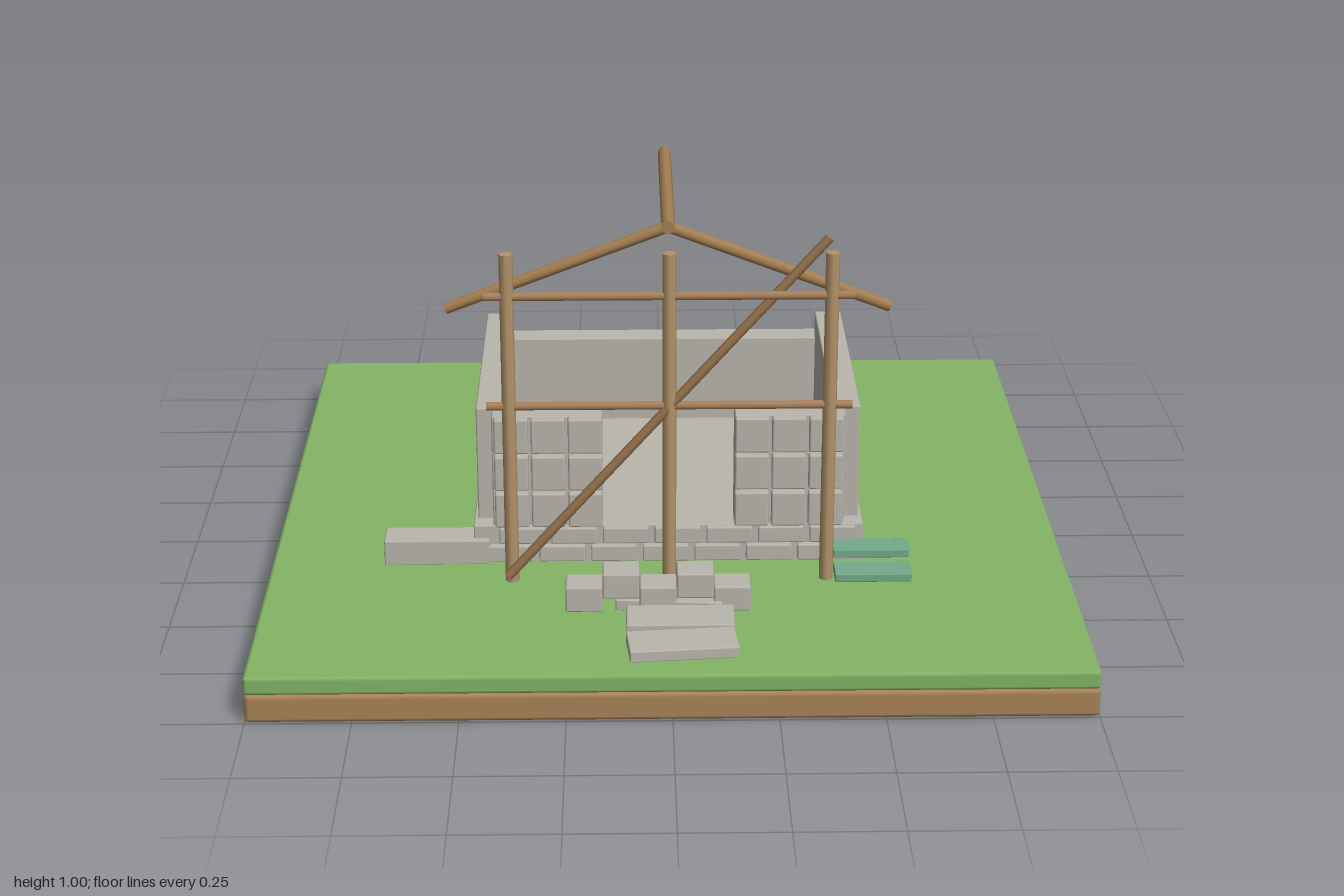
import * as THREE from 'three';
import { RoundedBoxGeometry } from 'three/addons/geometries/RoundedBoxGeometry.js';

const mat = (name, color) => {
  const m = new THREE.MeshStandardMaterial({ color });
  m.name = name;
  return m;
};

export function createModel() {
  const model = new THREE.Group();
  model.name = 'unfinishedHouse';
  const grass = mat('grass', 0x84b466);
  const soil = mat('soil', 0xa98458);
  const stone = mat('stone', 0xbab6ae);
  const postWood = mat('postWood', 0xb3946a);
  const railWood = mat('railWood', 0xa9805a);
  const roofWood = mat('roofWood', 0xa47f52);
  const braceWood = mat('braceWood', 0x8f6c48);
  const greenPaint = mat('greenPaint', 0x74ab8c);

  // chamfered block given by its extents
  const block = (name, material, [x0, x1], [y0, y1], [z0, z1], bevel = 0.004, parent = model) => {
    const geo = new RoundedBoxGeometry(x1 - x0, y1 - y0, z1 - z0, 1, bevel);
    const mesh = new THREE.Mesh(geo, material);
    mesh.name = name;
    mesh.position.set((x0 + x1) / 2, (y0 + y1) / 2, (z0 + z1) / 2);
    parent.add(mesh);
    return mesh;
  };

  // round pole between two points
  const pole = (name, material, a, b, radius, parent = model) => {
    const from = new THREE.Vector3(...a), to = new THREE.Vector3(...b);
    const dir = to.clone().sub(from);
    const mesh = new THREE.Mesh(new THREE.CylinderGeometry(radius, radius, dir.length(), 8), material);
    mesh.name = name;
    mesh.position.copy(from).add(to).multiplyScalar(0.5);
    mesh.quaternion.setFromUnitVectors(new THREE.Vector3(0, 1, 0), dir.normalize());
    parent.add(mesh);
  };

  const group = (name) => {
    const g = new THREE.Group();
    g.name = name;
    model.add(g);
    return g;
  };

  // ground plate
  block('soilLayer', soil, [-1, 1], [0, 0.073], [-1, 1], 0.012);
  block('grassLayer', grass, [-1, 1], [0.072, 0.12], [-1, 1], 0.01);

  // foundation and walls
  const house = group('house');
  block('foundation', stone, [-0.49, 0.49], [0.11, 0.22], [-0.39, 0.385], 0.004, house);
  block('backWall', stone, [-0.44, 0.44], [0.21, 0.455], [-0.38, -0.31], 0.004, house);
  for (const s of [-1, 1]) {
    const span = (a, b) => (s > 0 ? [a, b] : [-b, -a]);
    block('sideWall', stone, span(0.41, 0.48), [0.21, 0.52], [-0.34, 0.34], 0.004, house);
    block('frontWall', stone, span(0.165, 0.44), [0.21, 0.515], [0.305, 0.383], 0.004, house);
    // facing stones, three rows of three
    for (let row = 0; row < 3; row++) {
      for (let col = 0; col < 3; col++) {
        const x = 0.165 + col * 0.092, y = 0.222 + row * 0.1;
        block('facingStone', stone, span(x, x + 0.085), [y, y + 0.092], [0.375, 0.405], 0.005, house);
      }
    }
  }

  // staggered stones on the foundation front
  [0.125, 0.174].forEach((y, row) => {
    for (let i = 0; i < 7; i++) {
      const x = -0.455 + i * 0.13 + (row ? 0.03 : 0);
      block('foundationStone', stone, [x, x + 0.115], [y, y + 0.043], [0.378, 0.4], 0.004, house);
    }
  });

  // loose stones, paving slabs and planks
  const yard = group('yardPieces');
  block('looseBlock', stone, [-0.715, -0.45], [0.118, 0.185], [0.315, 0.4], 0.004, yard);
  for (let i = 0; i < 5; i++) {
    const x = -0.255 + i * 0.09, lift = i % 2 ? 0.035 : 0;
    block('rowStone', stone, [x, x + 0.09], [0.12 + lift, 0.186 + lift], [0.595, 0.675], 0.005, yard);
  }
  [[0, 0.62, -0.087], [0.022, 0.745, 0], [0.025, 0.872, 0.087]].forEach(([x, z, turn]) => {
    const slab = block('pavingSlab', stone, [x - 0.13, x + 0.13], [0.118, 0.148], [z - 0.055, z + 0.055], 0.004, yard);
    slab.rotation.y = turn;
  });
  block('upperPlank', greenPaint, [0.41, 0.6], [0.16, 0.182], [0.393, 0.463], 0.003, yard);
  block('lowerPlank', greenPaint, [0.41, 0.6], [0.13, 0.152], [0.467, 0.54], 0.003, yard);

  // scaffold
  const scaffold = group('scaffold');
  for (const x of [-0.39, 0, 0.39]) pole('scaffoldPost', postWood, [x, 0.115, 0.49], [x, 0.978, 0.49], 0.017, scaffold);
  for (const y of [0.587, 0.87]) pole('scaffoldRail', railWood, [-0.445, y, 0.49], [0.445, y, 0.49], 0.011, scaffold);
  pole('diagonalBrace', braceWood, [-0.395, 0.19, 0.615], [0.39, 0.975, 0.375], 0.012, scaffold);

  // bare roof frame
  const roof = group('roofFrame');
  pole('ridgeBeam', roofWood, [0, 0.982, 0.312], [0, 0.982, -0.312], 0.017, roof);
  for (const s of [-1, 1]) pole('rafter', roofWood, [0, 0.98, 0.298], [s * 0.55, 0.77, 0.298], 0.015, roof);

  return model;
}
